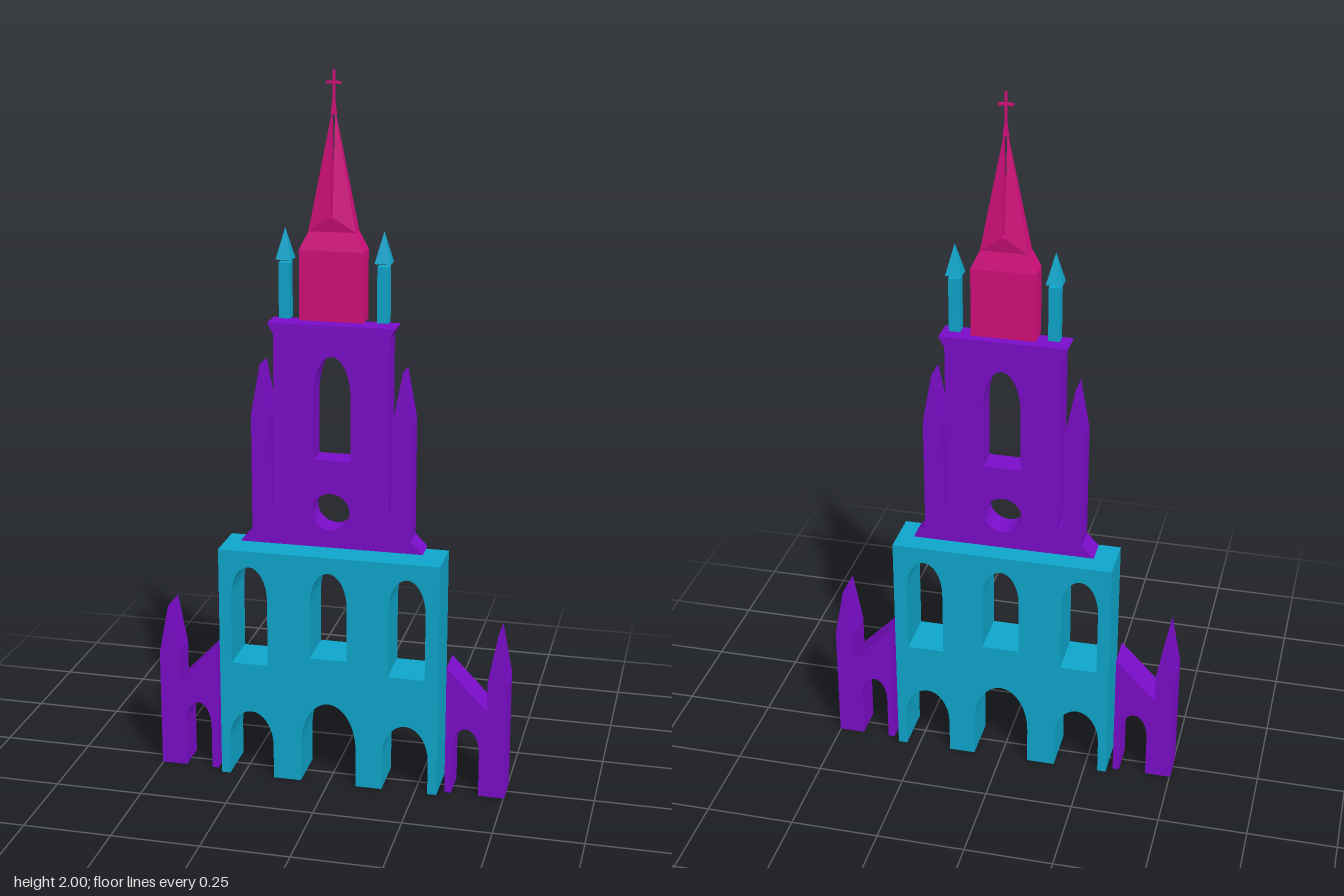
import * as THREE from 'three';
import { ConvexGeometry } from 'three/addons/geometries/ConvexGeometry.js';

const make = (name, color) => {
  const m = new THREE.MeshStandardMaterial({ color });
  m.name = name;
  return m;
};

// Points of a round-topped opening, from bottom left over the crown to bottom right
function archPoints(x0, x1, bottom, spring, top) {
  const pts = [[x0, bottom]];
  const n = 16, cx = (x0 + x1) / 2, r = (x1 - x0) / 2;
  for (let i = 0; i <= n; i++) {
    const a = Math.PI * (1 - i / n);
    pts.push([cx + r * Math.cos(a), spring + (top - spring) * Math.sin(a)]);
  }
  pts.push([x1, bottom]);
  return pts;
}

const toVectors = (pts) => pts.map(([x, y]) => new THREE.Vector2(x, y));

// Upright slab cut from an outline, reaching from z0 to z1
function slab(name, outline, holes, z0, z1, material) {
  const shape = new THREE.Shape(toVectors(outline));
  for (const h of holes) shape.holes.push(new THREE.Path(toVectors(h)));
  const geo = new THREE.ExtrudeGeometry(shape, { depth: z1 - z0, bevelEnabled: false });
  geo.translate(0, 0, z0);
  const mesh = new THREE.Mesh(geo, material);
  mesh.name = name;
  return mesh;
}

function hull(name, pts, material) {
  const mesh = new THREE.Mesh(new ConvexGeometry(pts.map((p) => new THREE.Vector3(...p))), material);
  mesh.name = name;
  return mesh;
}

function box(name, w, h, d, x, y, z, material) {
  const mesh = new THREE.Mesh(new THREE.BoxGeometry(w, h, d), material);
  mesh.position.set(x, y, z);
  mesh.name = name;
  return mesh;
}

export function createModel() {
  const cyan = make('cyan', 0x0ea7cc);
  const purple = make('purple', 0x7b0dca);
  const pink = make('pink', 0xd30f7c);
  const group = new THREE.Group();
  group.name = 'churchFacade';

  // Main block: three doorways below, three windows above
  group.add(slab('nave', [
    [-0.315, 0],
    ...archPoints(-0.29, -0.16, 0, 0.1, 0.2),
    ...archPoints(-0.08, 0.08, 0, 0.11, 0.245),
    ...archPoints(0.155, 0.287, 0, 0.1, 0.2),
    [0.313, 0], [0.313, 0.683], [-0.315, 0.683],
  ], [
    archPoints(-0.28, -0.175, 0.345, 0.54, 0.637),
    archPoints(-0.053, 0.053, 0.38, 0.54, 0.637),
    archPoints(0.17, 0.275, 0.345, 0.54, 0.637),
  ], -0.07, 0.068, cyan));

  // Side wings with an arch, sloping roof and outer spike
  for (const s of [1, -1]) {
    const outline = [
      [0.332, 0], ...archPoints(0.351, 0.428, 0, 0.13, 0.2),
      [0.502, 0], [0.502, 0.345], [0.474, 0.49], [0.447, 0.345], [0.447, 0.26], [0.332, 0.38],
    ].map(([x, y]) => [s * x, y]);
    group.add(slab(s > 0 ? 'leftWing' : 'rightWing', outline, [], -0.05, 0.045, purple));
  }

  // Tower with pointed buttresses, flared cornice, window and round opening
  const half = [
    [0.258, 0.702], [0.224, 0.738], [0.224, 1.07], [0.198, 1.213], [0.171, 1.075],
    [0.168, 0.79], [0.16, 0.79], [0.16, 1.3], [0.176, 1.33],
  ];
  const rose = [];
  for (let i = 0; i < 32; i++) {
    const a = (i / 32) * Math.PI * 2;
    rose.push([0.053 * Math.cos(a), 0.805 + 0.053 * Math.sin(a)]);
  }
  group.add(slab('tower', [...half, ...half.map(([x, y]) => [-x, y]).reverse()],
    [archPoints(-0.049, 0.055, 0.953, 1.13, 1.245), rose], -0.04, 0.034, purple));

  // Corner pinnacles: square shaft and pyramid cap
  for (const x of [-0.133, 0.137]) {
    const pinnacle = new THREE.Group();
    pinnacle.name = 'pinnacle';
    pinnacle.add(box('pinnacleShaft', 0.031, 0.152, 0.031, 0, 1.415, 0, cyan));
    const capGeo = new THREE.ConeGeometry(0.031, 0.085, 4, 1).rotateY(Math.PI / 4).toNonIndexed();
    capGeo.computeVertexNormals();
    const cap = new THREE.Mesh(capGeo, cyan);
    cap.name = 'pinnacleCap';
    cap.position.y = 1.542;
    pinnacle.add(cap);
    pinnacle.position.set(x, 0, -0.003);
    group.add(pinnacle);
  }

  // Spire: block with shoulders, then two ridged halves with a narrow slit between
  const spire = new THREE.Group();
  spire.name = 'spire';
  const corners = (w, y, d) => [[-w, y, -d], [w, y, -d], [-w, y, d], [w, y, d]];
  spire.add(hull('spireBase', [
    ...corners(0.088, 1.34, 0.032), ...corners(0.088, 1.53, 0.032), ...corners(0.064, 1.58, 0.022),
  ], pink));
  for (const s of [1, -1]) {
    const pts = [];
    for (const z of [1, -1]) {
      pts.push([s * 0.064, 1.58, z * 0.022], [s * 0.004, 1.58, z * 0.022],
        [s * 0.004, 1.62, z * 0.03], [s * 0.004, 1.895, z * 0.003]);
    }
    spire.add(hull('spireHalf', pts, pink));
  }
  spire.add(hull('slitSill', [...corners(0.004, 1.58, 0.022), ...corners(0.004, 1.62, 0.03)], pink));
  spire.add(hull('spireTip', [...corners(0.008, 1.885, 0.004), ...corners(0.003, 1.925, 0.003)], pink));

  // Cross on the tip
  spire.add(box('crossPost', 0.007, 0.09, 0.006, 0, 1.955, 0, pink));
  spire.add(box('crossArm', 0.04, 0.007, 0.006, 0, 1.968, 0, pink));
  spire.position.z = -0.003;
  group.add(spire);

  return group;
}
